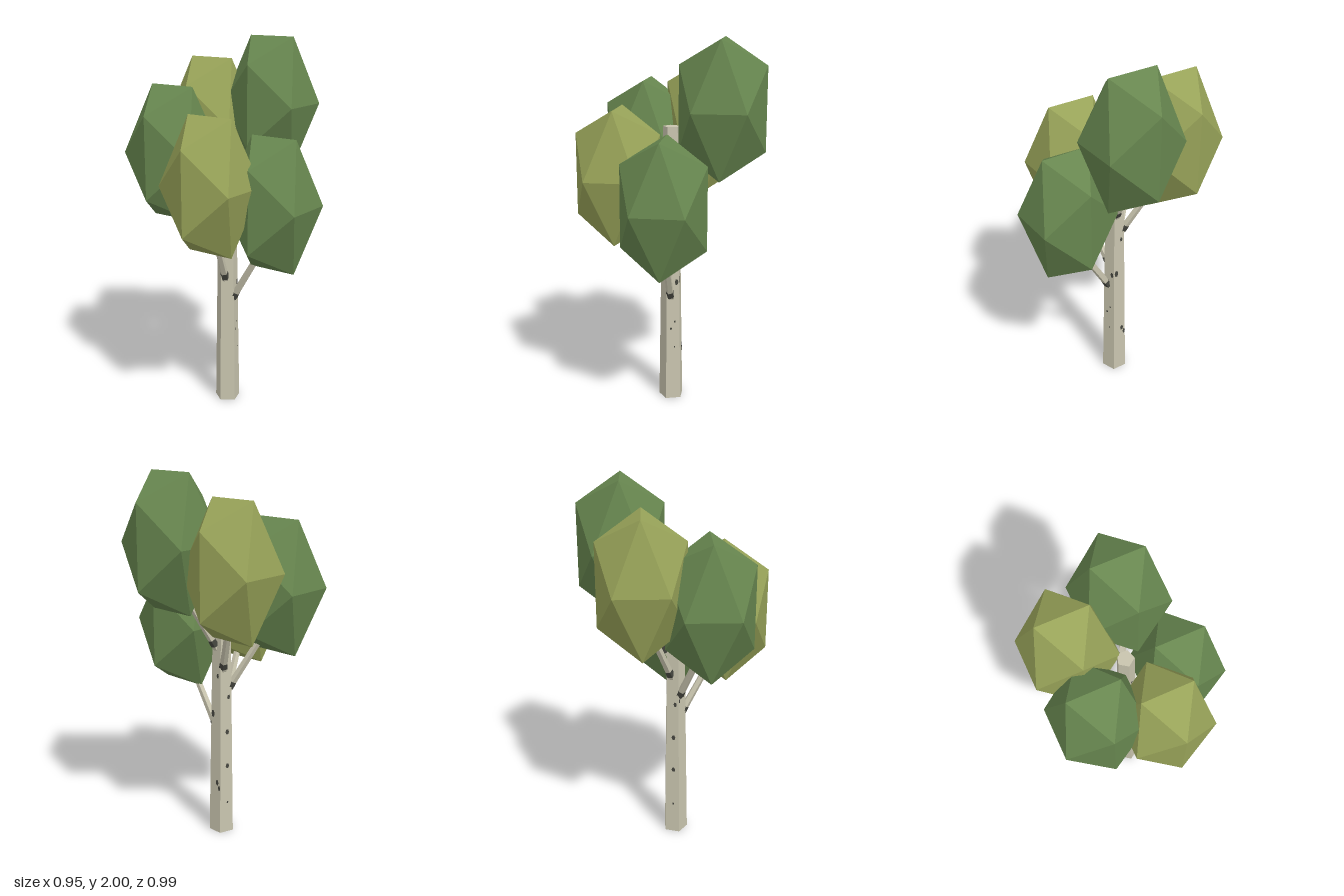
import * as THREE from 'three';

const bark = new THREE.MeshStandardMaterial({ color: 0xc8c4ae, flatShading: true });
bark.name = 'pale bark';
const barkDark = new THREE.MeshStandardMaterial({ color: 0x45463f, flatShading: true });
barkDark.name = 'dark bark';
const green = new THREE.MeshStandardMaterial({ color: 0x67864f, flatShading: true });
green.name = 'leaf green';
const olive = new THREE.MeshStandardMaterial({ color: 0x97a258, flatShading: true });
olive.name = 'leaf olive';

const TRUNK_X = -0.031, TRUNK_H = 1.54, R0 = 0.0695, R1 = 0.045;
const trunkRadius = (y) => R0 + (R1 - R0) * (y / TRUNK_H);

function part(parent, name, geometry, material) {
  const mesh = new THREE.Mesh(geometry, material);
  mesh.name = name;
  parent.add(mesh);
  return mesh;
}

// Tapered five-sided rod between two points
function rod(parent, name, a, b, ra, rb, material) {
  const dir = b.clone().sub(a);
  const mesh = part(parent, name, new THREE.CylinderGeometry(rb, ra, dir.length(), 5), material);
  mesh.position.copy(a).addScaledVector(dir, 0.5);
  mesh.quaternion.setFromUnitVectors(new THREE.Vector3(0, 1, 0), dir.normalize());
  return mesh;
}

// Thin dark fleck lying on one of the five trunk faces
function barkMark(parent, face, y, across, w, h) {
  const angle = THREE.MathUtils.degToRad(36 + 72 * face);
  const out = trunkRadius(y) * Math.cos(Math.PI / 5) + 0.0015;
  const mesh = part(parent, 'barkMark', new THREE.CircleGeometry(1, 6), barkDark);
  mesh.scale.set(w, h, 1);
  mesh.rotation.y = angle;
  mesh.position.set(
    TRUNK_X + Math.sin(angle) * out + Math.cos(angle) * across, y,
    Math.cos(angle) * out - Math.sin(angle) * across);
}

export function createModel() {
  const tree = new THREE.Group();
  tree.name = 'tree';

  // Trunk
  const trunk = part(tree, 'trunk', new THREE.CylinderGeometry(R1, R0, TRUNK_H, 5), bark);
  trunk.position.set(TRUNK_X, TRUNK_H / 2, 0);

  // Leaf clusters, lowest first, each carried by one branch
  const crowns = [
    [0.26, 1.17, 0, green],
    [0.06, 1.29, 0.27, olive],
    [-0.26, 1.41, 0.167, green],
    [-0.26, 1.53, -0.17, olive],
    [0.06, 1.648, -0.274, green],
  ];
  crowns.forEach(([x, y, z, material]) => {
    const crown = part(tree, 'leafCluster', new THREE.IcosahedronGeometry(1, 0), material);
    crown.scale.set(0.255, 0.414, 0.263);
    crown.position.set(x, y, z);

    const start = new THREE.Vector3(TRUNK_X, y - 0.63, 0);
    const end = new THREE.Vector3(x, y - 0.15, z);
    rod(tree, 'branch', start, end, 0.022, 0.016, bark);
    // Dark knot where the branch leaves the trunk
    rod(tree, 'branchKnot', start.clone().lerp(end, 0.14), start.clone().lerp(end, 0.21), 0.024, 0.022, barkDark);
  });

  // Bark flecks: face, height, offset across the face, half width, half height
  const marks = [
    [0, 0.95, 0.01, 0.006, 0.01], [0, 1.3, -0.01, 0.008, 0.012],
    [1, 0.42, -0.012, 0.006, 0.008], [1, 0.46, 0.01, 0.005, 0.006], [1, 0.31, 0.008, 0.004, 0.006],
    [1, 0.69, 0.02, 0.01, 0.018], [1, 1.05, 0, 0.008, 0.015],
    [2, 0.3, 0.015, 0.01, 0.018], [2, 0.7, -0.02, 0.012, 0.022], [2, 0.27, 0.03, 0.008, 0.018],
    [2, 0.92, 0.012, 0.008, 0.014], [2, 1.18, -0.008, 0.009, 0.014],
    [3, 0.6, 0.006, 0.011, 0.016], [3, 0.4, 0.006, 0.011, 0.015], [3, 0.18, 0.006, 0.006, 0.007],
    [3, 0.8, 0.015, 0.009, 0.014], [3, 1.1, -0.005, 0.009, 0.014],
    [4, 0.82, -0.025, 0.006, 0.014], [4, 1.2, 0.004, 0.008, 0.012],
  ];
  marks.forEach((m) => barkMark(tree, ...m));

  return tree;
}
